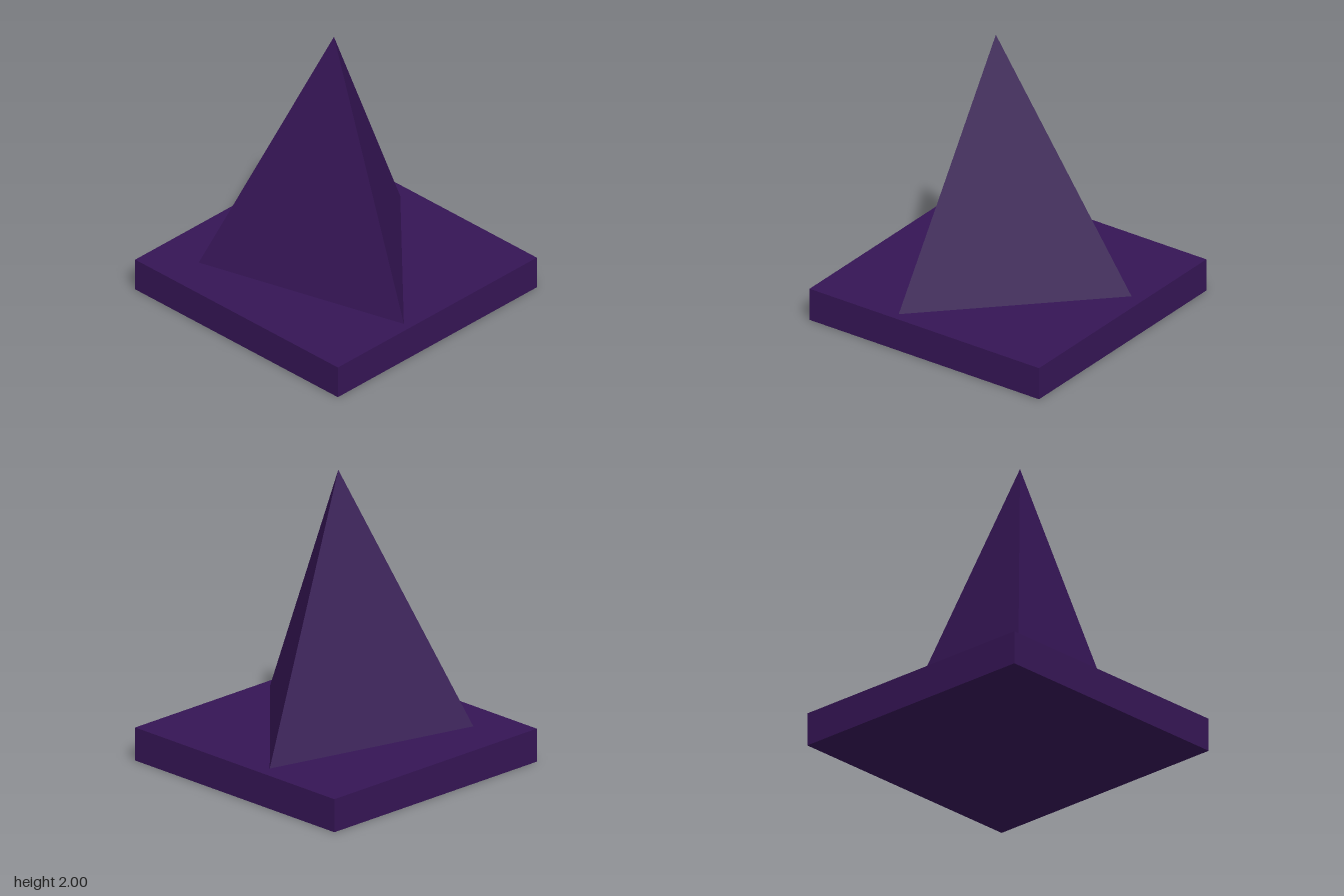
import * as THREE from 'three';

export function createModel() {
  const group = new THREE.Group();
  const material = new THREE.MeshStandardMaterial({ color: 0x351555, flatShading: true });

  // Square base slab
  const height = 0.23;
  const base = new THREE.Mesh(new THREE.BoxGeometry(1.85, height, 1.85), material);
  base.name = 'base';
  base.position.y = height / 2;
  group.add(base);

  // Three-sided pyramid, turned on the slab with a slightly off-centre tip
  const tip = [-0.065, 2, 0.045];
  const corners = [[-0.66, height, -0.605], [-0.25, height, 0.865], [0.83, height, -0.228]];
  const positions = [];
  corners.forEach((corner, i) => positions.push(...corner, ...corners[(i + 1) % 3], ...tip));
  positions.push(...corners[2], ...corners[1], ...corners[0]); // underside
  const geometry = new THREE.BufferGeometry();
  geometry.setAttribute('position', new THREE.Float32BufferAttribute(positions, 3));
  geometry.computeVertexNormals();
  const pyramid = new THREE.Mesh(geometry, material);
  pyramid.name = 'pyramid';
  group.add(pyramid);

  return group;
}
